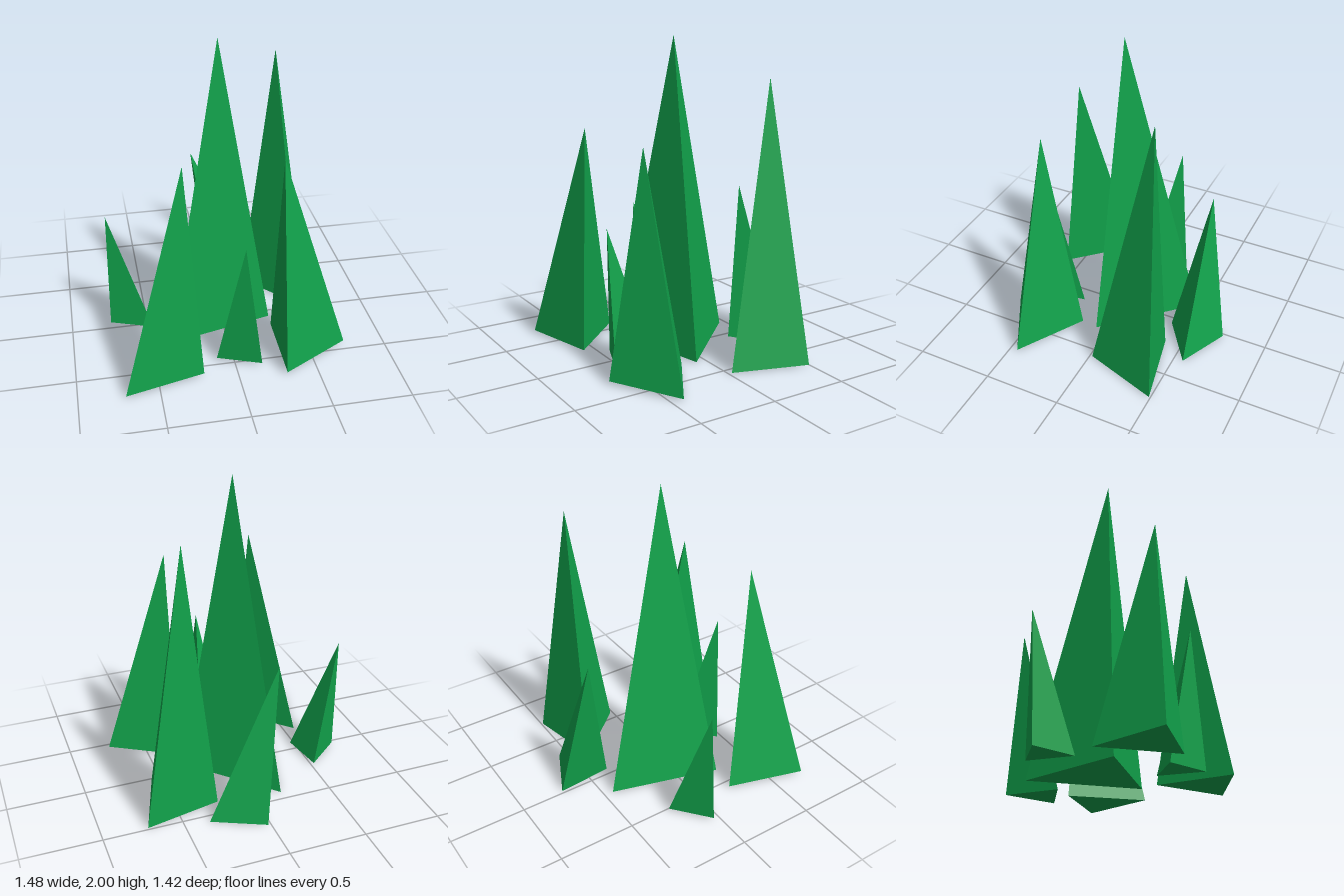
import * as THREE from 'three';

// Each spike: base corners [x, z] counter-clockwise from above, ground height, apex [x, y, z]
const SPIKES = [
  { name: 'centreSpike', base: [[-0.18, -0.445], [-0.38, 0.248], [0.32, 0.078]], y: 0.01, apex: [-0.022, 2, 0.028] },
  { name: 'backLeftSpike', base: [[0.718, -0.492], [0.232, -0.39], [0.562, -0.018]], y: 0.005, apex: [0.428, 1.757, -0.37] },
  { name: 'rightSpike', base: [[-0.515, -0.23], [-0.741, -0.042], [-0.468, 0.058]], y: 0.015, apex: [-0.732, 0.815, -0.08] },
  { name: 'frontRightSpike', base: [[-0.565, 0.215], [-0.712, 0.71], [-0.212, 0.59]], y: 0.018, apex: [-0.312, 1.43, 0.498] },
  { name: 'frontSpike', base: [[0.115, 0.273], [-0.108, 0.458], [0.165, 0.562]], y: 0.018, apex: [0.052, 0.87, 0.548] },
  { name: 'frontLeftSpike', base: [[0.31, 0.182], [0.3, 0.68], [0.738, 0.44]], y: 0.02, apex: [0.298, 1.39, 0.435] },
  { name: 'backSpike', base: [[0.018, -0.713], [0.048, -0.357], [0.343, -0.56]], y: 0, apex: [-0.105, 0.988, -0.543] },
];

// Leaning three-sided pyramid with a closed base
function spikeGeometry({ base, y, apex }) {
  const corners = base.map(([x, z]) => [x, y, z]);
  const points = [];
  corners.forEach((c, i) => points.push(c, corners[(i + 1) % 3], apex));
  points.push(corners[2], corners[1], corners[0]);
  const geometry = new THREE.BufferGeometry();
  geometry.setAttribute('position', new THREE.Float32BufferAttribute(points.flat(), 3));
  geometry.computeVertexNormals();
  return geometry;
}

export function createModel() {
  const group = new THREE.Group();
  group.name = 'spikeCluster';
  const green = new THREE.MeshStandardMaterial({ color: 0x11a24b, flatShading: true });
  for (const spike of SPIKES) {
    const mesh = new THREE.Mesh(spikeGeometry(spike), green);
    mesh.name = spike.name;
    group.add(mesh);
  }
  return group;
}
